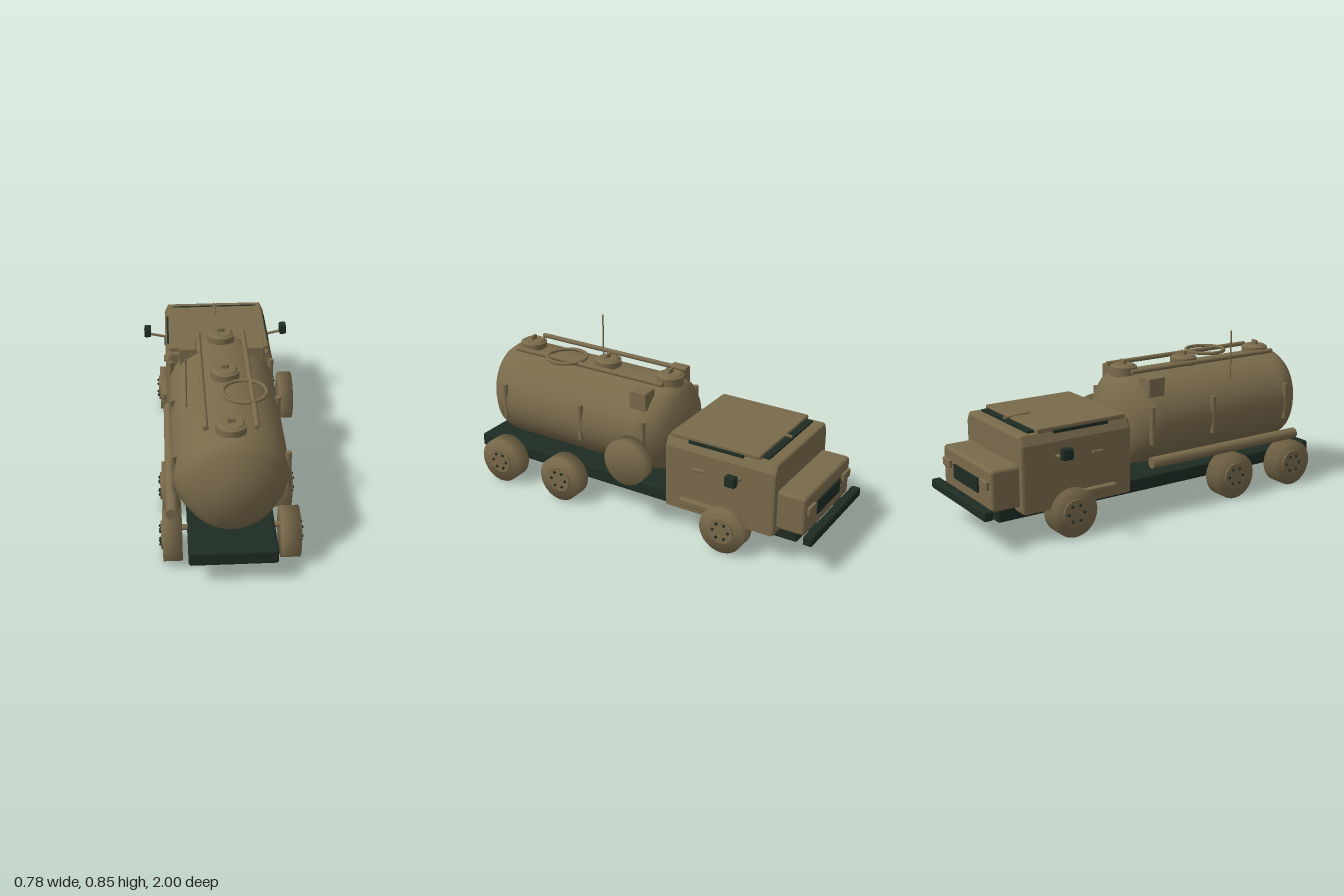
import * as THREE from 'three';
import { mergeVertices } from 'three/addons/utils/BufferGeometryUtils.js';
import { RoundedBoxGeometry } from 'three/addons/geometries/RoundedBoxGeometry.js';

export function createModel() {
  const model = new THREE.Group();
  const tan = new THREE.MeshStandardMaterial({ color: 0x796a4b });
  tan.name = 'sand paint';
  const dark = new THREE.MeshStandardMaterial({ color: 0x1e2c22 });
  dark.name = 'dark green';

  const add = (name, geo, mat, x = 0, y = 0, z = 0) => {
    const mesh = new THREE.Mesh(geo, mat);
    mesh.name = name;
    mesh.position.set(x, y, z);
    model.add(mesh);
    return mesh;
  };
  // Box given by its limits on each axis, with optional rounded edges
  const box = (name, mat, [x0, x1], [y0, y1], [z0, z1], r = 0) => {
    const s = [x1 - x0, y1 - y0, z1 - z0];
    const geo = r ? new RoundedBoxGeometry(...s, 2, r) : new THREE.BoxGeometry(...s);
    return add(name, geo, mat, (x0 + x1) / 2, (y0 + y1) / 2, (z0 + z1) / 2);
  };
  const rod = (name, mat, a, b, r) => {
    const p = new THREE.Vector3(...a), q = new THREE.Vector3(...b);
    const d = q.clone().sub(p);
    const mesh = add(name, new THREE.CylinderGeometry(r, r, d.length(), 14), mat);
    mesh.position.copy(p).add(q).multiplyScalar(0.5);
    mesh.quaternion.setFromUnitVectors(new THREE.Vector3(0, 1, 0), d.normalize());
    return mesh;
  };
  // Softly shaded drum along x
  const drum = (radius, width) => {
    const h = width / 2;
    const pts = [[0, -h], [radius, -h], [radius, h], [0, h]].map(p => new THREE.Vector2(...p));
    return new THREE.LatheGeometry(pts, 36).rotateZ(-Math.PI / 2);
  };

  // Chassis
  box('chassis', dark, [-0.2, 0.2], [0.105, 0.177], [-0.89, 1], 0.012);

  // Tank: elliptical rings [z, half width, half height] with domed ends
  const half = [[0.578, 0, 0], [0.568, 0.08, 0.09], [0.533, 0.17, 0.2],
    [0.49, 0.215, 0.233], [0.445, 0.245, 0.235], [0.39, 0.264, 0.235]];
  const rings = [...half.map(([z, a, b]) => [-z, a, b]), ...half.slice().reverse()];
  let tank = new THREE.LatheGeometry(rings.map(([z]) => new THREE.Vector2(1, z)), 44);
  const pos = tank.attributes.position;
  for (let i = 0; i < pos.count; i++) {
    const [, a, b] = rings[i % rings.length];
    pos.setX(i, pos.getX(i) * a);
    pos.setZ(i, pos.getZ(i) * b);
  }
  tank.deleteAttribute('uv');
  tank.deleteAttribute('normal');
  tank = mergeVertices(tank, 1e-5);
  tank.computeVertexNormals();
  add('tank', tank.rotateX(Math.PI / 2), tan, 0, 0.435, 0.375);

  // Tank hatches and side posts
  for (const z of [0.77, 0.295, -0.075]) {
    add('hatchNeck', new THREE.CylinderGeometry(0.068, 0.068, 0.045, 32), tan, 0, 0.676, z);
    add('hatchLid', new THREE.CylinderGeometry(0.05, 0.064, 0.012, 32), tan, 0, 0.703, z);
    box('hatchHandle', tan, [-0.018, 0.018], [0.705, 0.731], [z - 0.008, z + 0.008], 0.004);
    for (const s of [-1, 1]) rod('tankPost', tan, [s * 0.254, 0.355, z], [s * 0.254, 0.543, z], 0.014);
  }
  for (const s of [-1, 1]) {
    rod('topRail', tan, [s * 0.112, 0.69, -0.1], [s * 0.112, 0.69, 0.79], 0.012);
    const x = s * 0.168;
    box('tankBox', tan, [x - 0.043, x + 0.043], [0.575, 0.67], [-0.065, 0.03], 0.006);
  }
  add('hoseRing', new THREE.TorusGeometry(0.1, 0.009, 10, 40).rotateX(Math.PI / 2), tan, 0.078, 0.697, 0.495);
  rod('antenna', tan, [-0.187, 0.56, 0.455], [-0.187, 0.847, 0.455], 0.004);
  rod('sideTube', tan, [-0.268, 0.267, -0.09], [-0.268, 0.267, 0.83], 0.028);
  add('spareWheel', drum(0.118, 0.066), tan, 0.323, 0.355, -0.037);

  // Cab: bevelled extrusion of its front section
  const section = new THREE.Shape([[-0.264, 0.162], [0.264, 0.162], [0.264, 0.468], [0.248, 0.503],
    [-0.248, 0.503], [-0.264, 0.468]].map(p => new THREE.Vector2(...p)));
  add('cab', new THREE.ExtrudeGeometry(section, {
    depth: 0.56, bevelThickness: 0.014, bevelSize: 0.013, bevelSegments: 2,
  }), tan, 0, 0, -0.79);
  box('roofPanel', tan, [-0.258, 0.258], [0.512, 0.538], [-0.71, -0.235], 0.007);
  box('roofFrontStrip', dark, [-0.23, 0.23], [0.512, 0.526], [-0.745, -0.705]);
  rod('roofHandle', tan, [0, 0.541, -0.61], [0, 0.535, -0.745], 0.007);

  // Nose and bumper
  box('nose', tan, [-0.25, 0.25], [0.18, 0.38], [-0.945, -0.79], 0.018);
  box('grille', dark, [-0.125, 0.125], [0.245, 0.315], [-0.953, -0.944]);
  box('bumper', dark, [-0.283, 0.283], [0.16, 0.207], [-1, -0.953], 0.01);
  for (const s of [-1, 1]) {
    const span = (a, b) => (s > 0 ? [a, b] : [-b, -a]);
    box('headlight', tan, span(0.155, 0.23), [0.285, 0.325], [-0.96, -0.94], 0.005);
    box('bumperMount', dark, span(0.12, 0.16), [0.165, 0.195], [-0.96, -0.88]);
    // Cab side fittings
    box('sideRoofStrip', dark, span(0.25, 0.268), [0.507, 0.521], [-0.63, -0.34]);
    box('doorHandle', tan, span(0.27, 0.288), [0.378, 0.393], [-0.435, -0.375], 0.004);
    box('step', tan, span(0.265, 0.302), [0.182, 0.218], [-0.49, -0.31], 0.008);
    rod('mirrorArm', tan, [s * 0.27, 0.4, -0.625], [s * 0.36, 0.42, -0.625], 0.007);
    box('mirror', dark, span(0.355, 0.392), [0.41, 0.463], [-0.652, -0.598], 0.007);
  }

  // Wheels with hub discs and bolts
  for (const z of [0.785, 0.4, -0.548]) {
    rod('axle', tan, [-0.25, 0.16, z], [0.25, 0.16, z], 0.014);
    for (const s of [-1, 1]) {
      add('wheel', drum(0.118, 0.088), tan, s * 0.268, 0.118, z);
      rod('hub', tan, [s * 0.3, 0.12, z], [s * 0.32, 0.12, z], 0.066)
        .geometry = new THREE.CylinderGeometry(0.066, 0.066, 0.02, 28);
      for (let i = 0; i < 6; i++) {
        const t = i * Math.PI / 3;
        add('bolt', new THREE.SphereGeometry(0.0075, 10, 8), dark,
          s * 0.322, 0.12 + 0.042 * Math.cos(t + Math.PI / 6), z + 0.042 * Math.sin(t + Math.PI / 6));
      }
    }
  }
  return model;
}
